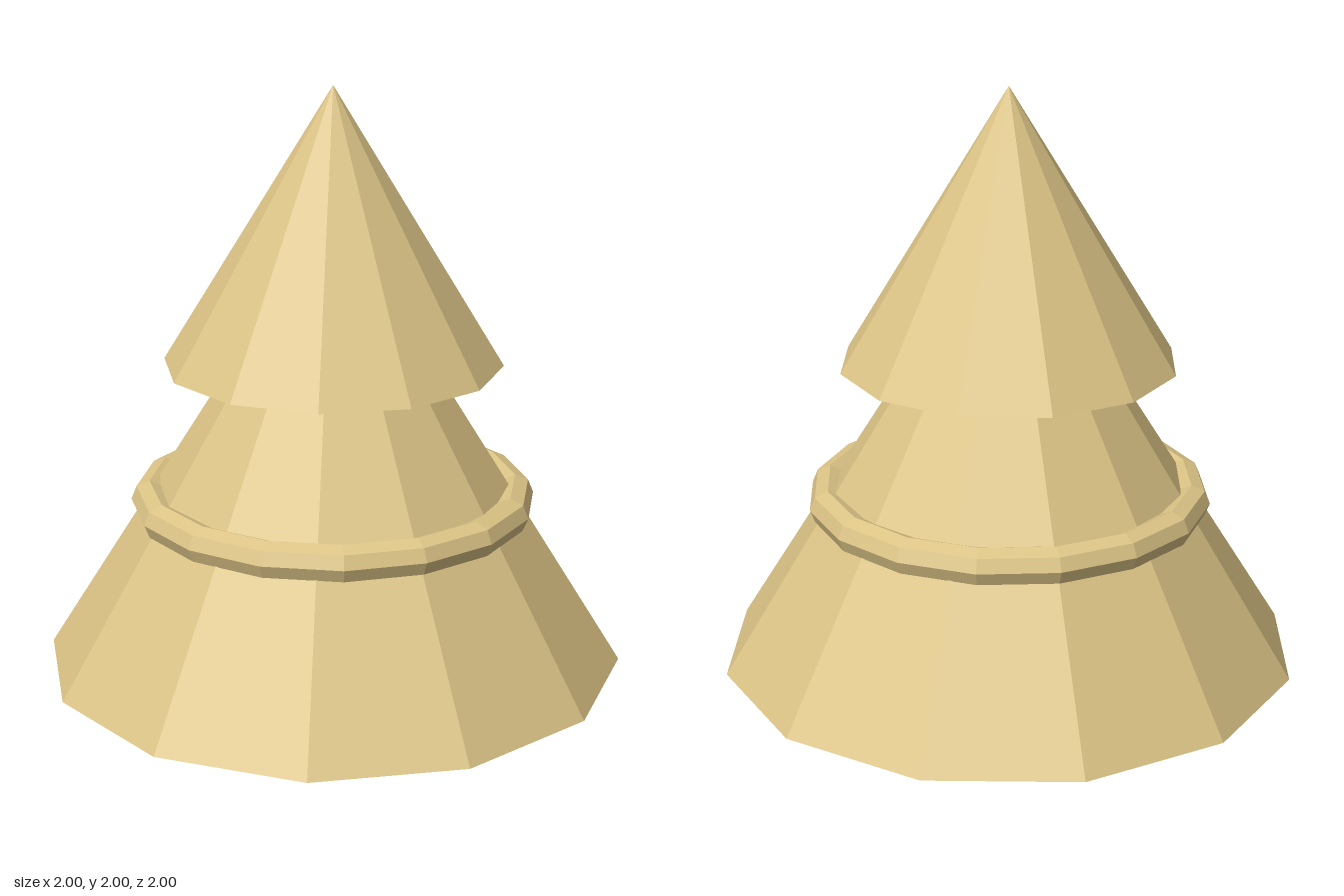
import * as THREE from 'three';

export function createModel() {
  const model = new THREE.Group();
  model.name = 'tieredCone';

  const sand = new THREE.MeshStandardMaterial({ color: 0xdcc486, flatShading: true });
  sand.name = 'sand';

  const add = (name, geometry, y) => {
    const mesh = new THREE.Mesh(geometry, sand);
    mesh.name = name;
    mesh.position.y = y;
    model.add(mesh);
  };

  // twelve-sided cone standing on its base at height y
  const addCone = (name, radius, height, y) =>
    add(name, new THREE.ConeGeometry(radius, height, 12), y + height / 2);

  addCone('lowerCone', 1, 1.6, 0);
  addCone('upperCone', 0.577, 0.941, 1.059);

  // sixteen-sided band around the lower cone
  add('band', new THREE.TorusGeometry(0.63, 0.064, 8, 16).rotateX(-Math.PI / 2), 0.579);

  return model;
}
